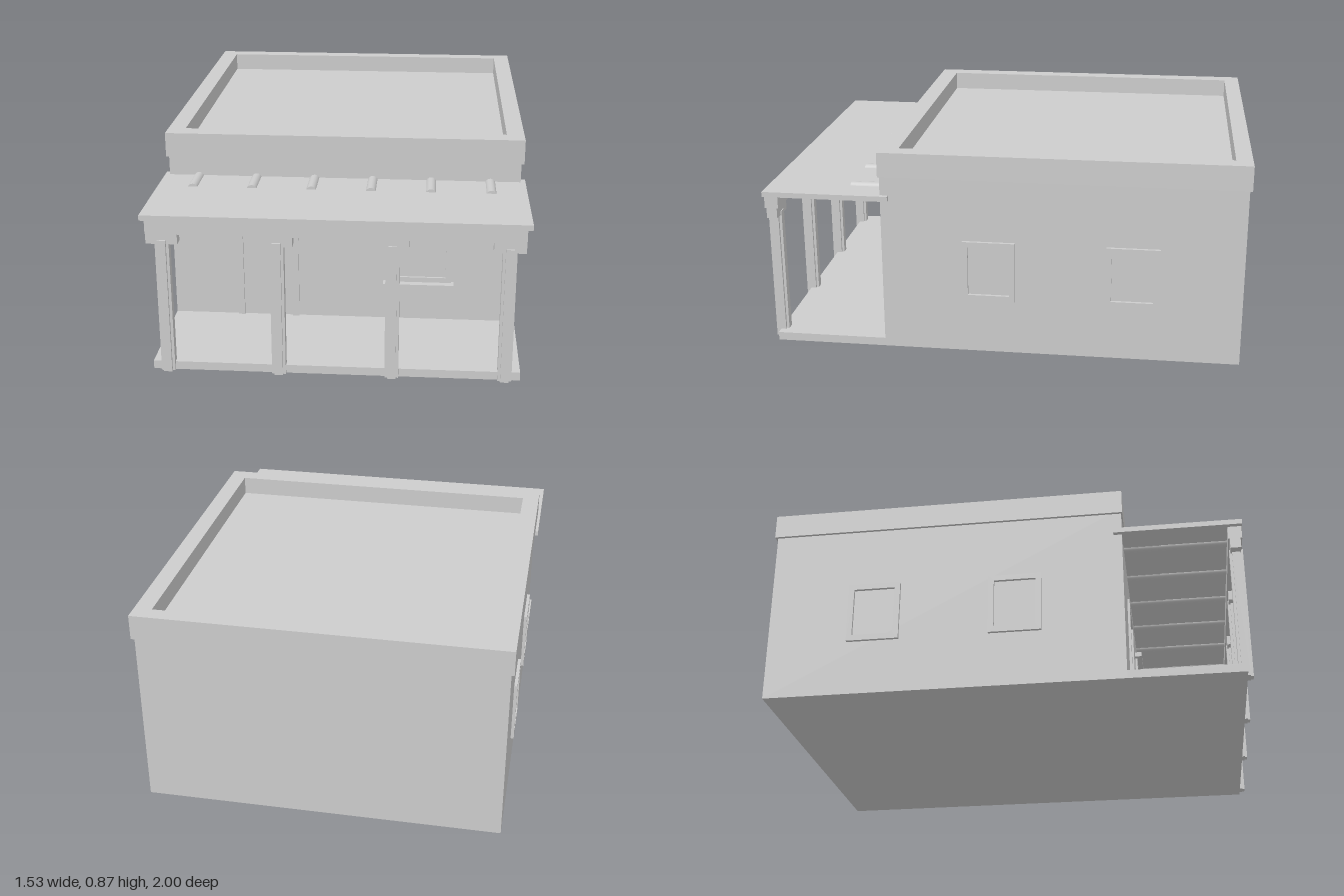
import * as THREE from 'three';

export function createModel() {
  const model = new THREE.Group();
  model.name = 'flatRoofedHouse';
  const plaster = new THREE.MeshStandardMaterial({ color: 0xcccccc });
  plaster.name = 'plaster';

  const add = (name, geometry, parent = model) => {
    const mesh = new THREE.Mesh(geometry, plaster);
    mesh.name = name;
    parent.add(mesh);
    return mesh;
  };
  // box given by its limits on each axis
  const box = (name, x0, x1, y0, y1, z0, z1, parent = model) => {
    const mesh = add(name, new THREE.BoxGeometry(x1 - x0, y1 - y0, z1 - z0), parent);
    mesh.position.set((x0 + x1) / 2, (y0 + y1) / 2, (z0 + z1) / 2);
    return mesh;
  };
  const rect = (Kind, x0, x1, y0, y1) => new Kind([
    [x0, y0], [x1, y0], [x1, y1], [x0, y1],
  ].map(([x, y]) => new THREE.Vector2(x, y)));
  // rectangular ring extruded along z
  const ring = (outer, inner, depth) => {
    const shape = rect(THREE.Shape, ...outer);
    shape.holes.push(rect(THREE.Path, ...inner));
    return new THREE.ExtrudeGeometry(shape, { depth, bevelEnabled: false });
  };

  // main block with sunken roof and parapet
  box('walls', -0.745, 0.745, 0, 0.785, -0.99, 0.505);
  const parapet = add('parapet',
    ring([-0.757, 0.757, -0.51, 1], [-0.683, 0.683, -0.433, 0.932], 0.105));
  parapet.rotation.x = -Math.PI / 2;
  parapet.position.y = 0.76;

  // porch floor, roof and front beam
  box('porchFloor', -0.745, 0.745, 0, 0.035, 0.505, 0.975);
  box('porchRoof', -0.765, 0.765, 0.658, 0.68, 0.47, 1);
  box('porchBeam', -0.745, 0.745, 0.602, 0.658, 0.94, 0.997);

  // columns: square with notched corners, under bracket capitals
  const a = 0.028, b = 0.017;
  const section = new THREE.Shape([
    [-b, -a], [b, -a], [b, -b], [a, -b], [a, b], [b, b],
    [b, a], [-b, a], [-b, b], [-a, b], [-a, -b], [-b, -b],
  ].map(([x, y]) => new THREE.Vector2(x, y)));
  const shaft = new THREE.ExtrudeGeometry(section, { depth: 0.575, bevelEnabled: false });
  shaft.rotateX(-Math.PI / 2);
  for (const x of [-0.682, -0.228, 0.228, 0.682]) {
    add('column', shaft).position.set(x, 0, 0.97);
    box('capital', x - 0.063, x + 0.063, 0.558, 0.602, 0.946, 0.99);
  }

  // round roof logs: long ones below the porch roof, short stubs above it
  const log = (name, x, y, r, z0, z1) => {
    const g = new THREE.CylinderGeometry(r, r, z1 - z0, 16).rotateX(Math.PI / 2);
    add(name, g).position.set(x, y, (z0 + z1) / 2);
  };
  for (let i = 0; i < 6; i++) {
    const x = -0.618 + i * 0.2472;
    log('rafter', x, 0.661, 0.017, 0.5, 0.945);
    log('logStub', x, 0.671, 0.022, 0.5, 0.655);
  }

  // doorway frame on the front wall
  const doorFrame = new THREE.Group();
  doorFrame.name = 'doorFrame';
  model.add(doorFrame);
  box('jamb', -0.467, -0.439, 0.035, 0.5, 0.5, 0.515, doorFrame);
  box('jamb', -0.225, -0.197, 0.035, 0.5, 0.5, 0.515, doorFrame);
  box('header', -0.439, -0.225, 0.473, 0.5, 0.5, 0.515, doorFrame);

  // front window with lintel and sill
  add('frontWindowFrame', ring([0.183, 0.467, 0.21, 0.522], [0.208, 0.442, 0.235, 0.495], 0.015))
    .position.z = 0.5;
  box('frontWindowLintel', 0.16, 0.49, 0.52, 0.542, 0.5, 0.537);
  box('frontWindowSill', 0.172, 0.478, 0.2, 0.213, 0.5, 0.545);

  // two windows on each side wall
  const sideFrame = ring([-0.11, 0.11, 0.235, 0.495], [-0.087, 0.087, 0.26, 0.472], 0.017);
  for (const side of [-1, 1]) {
    for (const z of [0.055, -0.54]) {
      const frame = add('sideWindowFrame', sideFrame);
      frame.rotation.y = side * Math.PI / 2;
      frame.position.set(side * 0.741, 0, z);
    }
  }
  return model;
}
